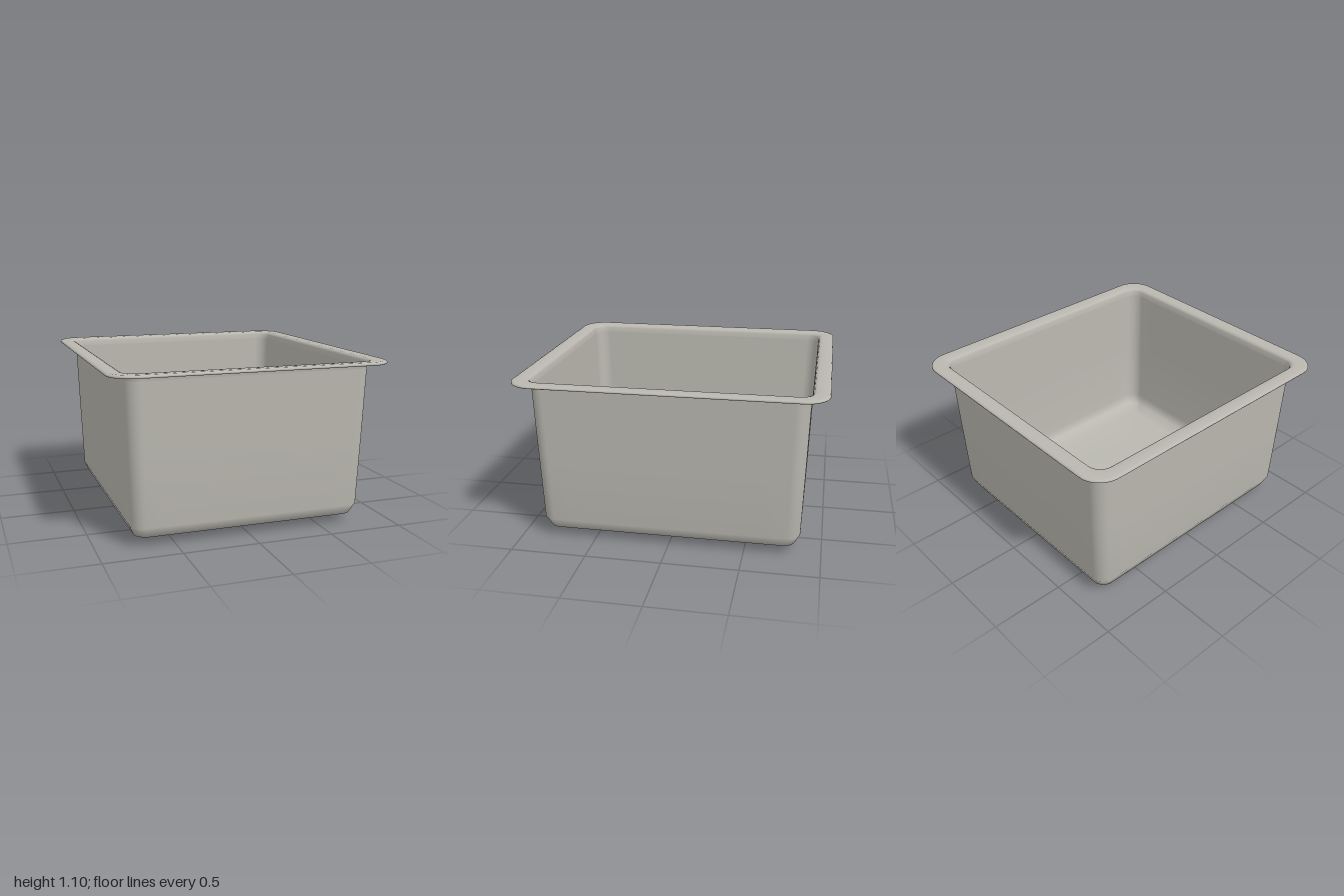
import * as THREE from 'three';

const CORNER = 10; // segments round each corner
const EDGE = 10; // segments along each straight side

// Closed rounded-rectangle loop, inset from the rim outline by d, at height y
function rectLoop(d, y, r) {
  const hx = 0.92 - d, hz = 1 - d;
  const signs = [[1, 1], [-1, 1], [-1, -1], [1, -1]];
  const arcs = signs.map(([sx, sz], q) => {
    const arc = [];
    for (let i = 0; i <= CORNER; i++) {
      const a = (q + i / CORNER) * Math.PI / 2;
      arc.push(new THREE.Vector3(sx * (hx - r) + r * Math.cos(a), y, sz * (hz - r) + r * Math.sin(a)));
    }
    return arc;
  });
  const loop = [];
  arcs.forEach((arc, q) => {
    loop.push(...arc);
    const next = arcs[(q + 1) % 4][0];
    for (let i = 1; i < EDGE; i++) loop.push(arc[CORNER].clone().lerp(next, i / EDGE));
  });
  return loop;
}

// Circular loop with points in the same directions as the rectangle's
function roundLoop(r, y) {
  return rectLoop(0.26, 0, 0.07).map((p) => p.setLength(r).setY(y));
}

// Skin a list of loops, ordered from the outside in
function skin(name, loops, material) {
  const n = loops[0].length, index = [];
  for (let k = 0; k < loops.length - 1; k++) {
    for (let j = 0; j < n; j++) {
      const a = k * n + j, b = k * n + (j + 1) % n;
      index.push(a, a + n, b, b, a + n, b + n);
    }
  }
  const geometry = new THREE.BufferGeometry().setFromPoints(loops.flat());
  geometry.setIndex(index);
  geometry.computeVertexNormals();
  const mesh = new THREE.Mesh(geometry, material);
  mesh.name = name;
  return mesh;
}

export function createModel() {
  const steel = new THREE.MeshStandardMaterial({ color: 0xb9b7af, side: THREE.DoubleSide });
  steel.name = 'satin steel';
  const group = new THREE.Group();
  group.name = 'sinkBasin';

  // Rim with a small turned-down lip, rolling over into the basin: inset, height, corner radius
  const rim = [
    [0.006, 1.084, 0.154], [0, 1.088, 0.16], [0, 1.094, 0.16], [0.005, 1.1, 0.155],
    [0.016, 1.104, 0.148], [0.05, 1.104, 0.125], [0.085, 1.102, 0.105],
    [0.1, 1.096, 0.095], [0.108, 1.083, 0.09], [0.112, 1.05, 0.088],
  ];
  group.add(skin('rim', rim.map((p) => rectLoop(...p)), steel));

  // Tapering walls, bottom bend, and floor falling gently to the drain
  const walls = [
    [0.112, 1.05, 0.088], [0.125, 0.6, 0.088], [0.14, 0.13, 0.088],
    [0.17, 0.062, 0.085], [0.26, 0.033, 0.07],
  ];
  const basin = walls.map((p) => rectLoop(...p));
  basin.push(roundLoop(0.45, 0.029), roundLoop(0.18, 0.024), roundLoop(0.15, 0.021), roundLoop(0.127, 0.015));
  group.add(skin('basin', basin, steel));

  // Shallow drain cup with a slightly raised centre
  const drain = [[0.127, 0.015], [0.105, 0.006], [0.09, 0], [0.08, 0.001], [0.07, 0.005], [0.001, 0.006]];
  group.add(skin('drain', drain.map((p) => roundLoop(...p)), steel));

  return group;
}
